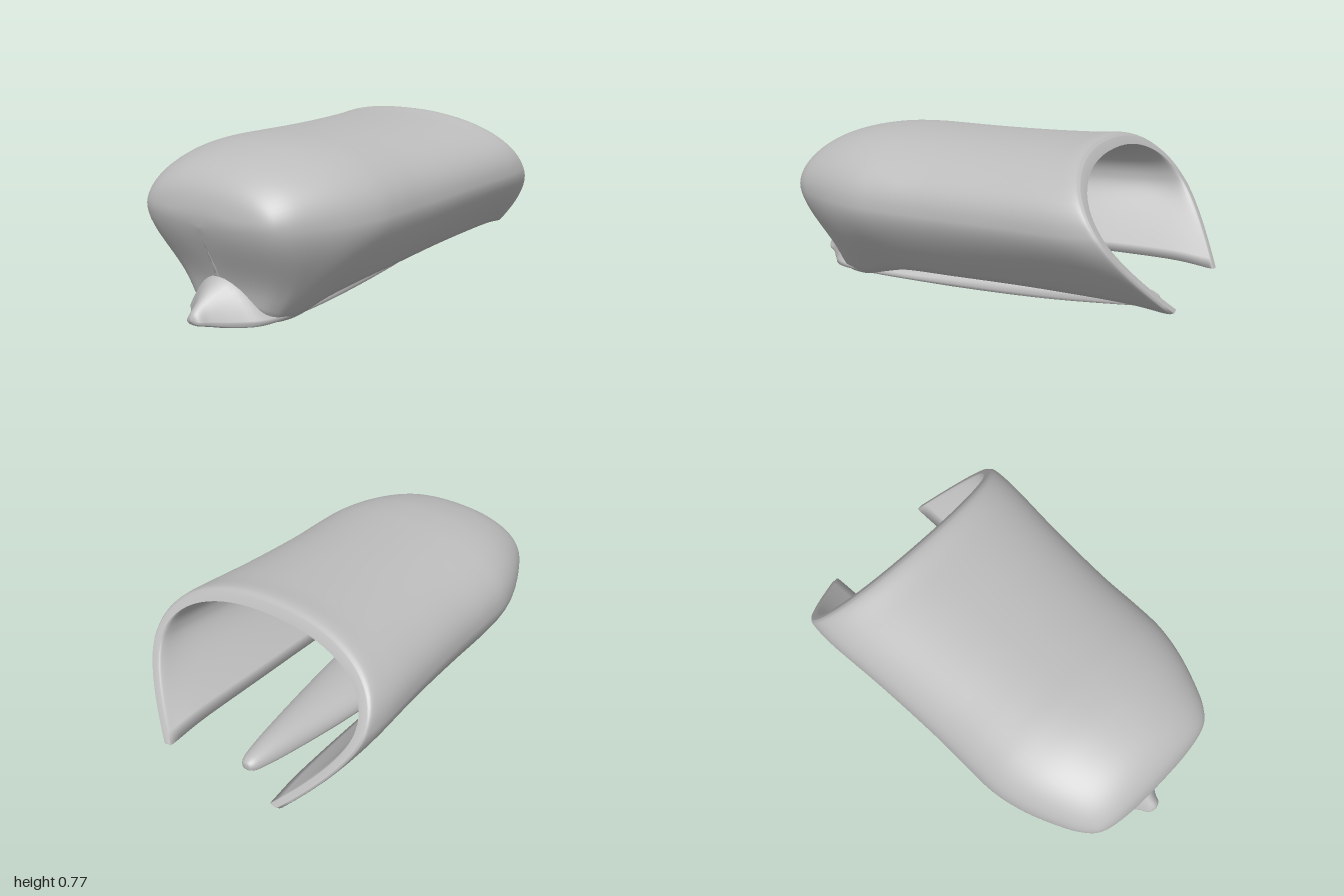
import * as THREE from 'three';

// Smoothly interpolates a table of cross-section rows into `count` rows.
function sampleRows(rows, count) {
  const times = rows.map((_, i) => i);
  const spline = new THREE.CubicInterpolant(times, rows.flat(), rows[0].length);
  return Array.from({ length: count + 1 }, (_, i) =>
    Array.from(spline.evaluate((i / count) * (rows.length - 1))));
}

// Joins closed rings of equal length; optionally closes the first ring as a folded rim.
function loft(rings, foldFirst) {
  const n = rings[0].length;
  const index = [];
  for (let i = 0; i < rings.length - 1; i++) {
    for (let j = 0; j < n; j++) {
      const k = (j + 1) % n;
      const a = i * n + j, b = i * n + k, c = a + n, d = b + n;
      index.push(a, b, c, b, d, c);
    }
  }
  if (foldFirst) {
    for (let j = 0; j < n / 2 - 1; j++) {
      const inner = n - 1 - j;
      index.push(j, inner, j + 1, j + 1, inner, inner - 1);
    }
  }
  const geometry = new THREE.BufferGeometry();
  geometry.setAttribute('position', new THREE.Float32BufferAttribute(rings.flat(2), 3));
  geometry.setIndex(index);
  geometry.computeVertexNormals();
  return geometry;
}

// Open arch: lower wall curve, rounded crown, mirrored lower wall.
function arch(w, top, side, bx, by) {
  const half = [];
  const cy = THREE.MathUtils.lerp(side, by, 0.33);
  for (let i = 0; i < 12; i++) {
    const t = 1 - i / 12, s = 1 - t;
    half.push([
      s * s * w + 2 * s * t * w + t * t * bx,
      s * s * side + 2 * s * t * cy + t * t * by,
    ]);
  }
  for (let i = 0; i < 16; i++) {
    const a = (i / 16) * Math.PI / 2;
    half.push([w * Math.cos(a) ** 0.9, side + (top - side) * Math.sin(a) ** 0.9]);
  }
  return [...half, [0, top], ...half.map(([x, y]) => [-x, y]).reverse()];
}

function hoodGeometry() {
  // z, half width, crown y, widest y, lower edge x, lower edge y, thickness
  const rows = [
    [-0.56, 0.578, 0.762, 0.49, 0.325, 0.14, 0.035],
    [-0.53, 0.592, 0.778, 0.49, 0.345, 0.14, 0.058],
    [-0.40, 0.595, 0.768, 0.48, 0.350, 0.155, 0.068],
    [-0.15, 0.570, 0.760, 0.47, 0.345, 0.15, 0.07],
    [0.10, 0.555, 0.758, 0.46, 0.345, 0.135, 0.07],
    [0.30, 0.556, 0.758, 0.46, 0.335, 0.12, 0.07],
    [0.45, 0.550, 0.757, 0.46, 0.270, 0.07, 0.07],
    [0.60, 0.515, 0.745, 0.46, 0.235, 0.025, 0.07],
    [0.75, 0.455, 0.712, 0.46, 0.222, 0.02, 0.07],
    [0.85, 0.400, 0.665, 0.46, 0.205, 0.03, 0.07],
    [0.91, 0.330, 0.605, 0.46, 0.150, 0.06, 0.06],
    [0.938, 0.190, 0.530, 0.45, 0.001, 0.13, 0.04],
    [0.945, 0.001, 0.441, 0.44, 0.000, 0.435, 0],
  ];
  const smooth = THREE.MathUtils.smoothstep;
  const rings = sampleRows(rows, 72).map(([z, w, top, side, bx, by, thick]) => {
    const nose = smooth(z, 0.5, 0.945);
    const rear = 1 - smooth(z, -0.56, 0.3);
    // slants the rear opening and pulls the lower nose back
    const place = inset => ([x, y]) => [
      x, y,
      z - 0.695 * (0.77 - y) * rear - 0.12 * smooth(0.5 - y, 0, 0.38) * nose - inset * nose,
    ];
    const outer = arch(w, top, side, bx, by).map(place(0));
    const inner = arch(Math.max(w - thick, 0), top - thick, side, Math.max(bx - thick, 0), by + thick * 0.1)
      .map(place(thick)).reverse();
    return [...outer, ...inner];
  });
  return loft(rings, true);
}

function tongueGeometry() {
  // z, half width, underside y, edge y, top y
  const rows = [
    [-0.835, 0.002, 0.050, 0.055, 0.060],
    [-0.825, 0.030, 0.036, 0.055, 0.080],
    [-0.77, 0.055, 0.030, 0.050, 0.100],
    [-0.60, 0.090, 0.020, 0.042, 0.118],
    [-0.30, 0.140, 0.006, 0.035, 0.125],
    [0.10, 0.195, 0.004, 0.035, 0.122],
    [0.45, 0.238, 0.015, 0.040, 0.110],
    [0.68, 0.240, 0.014, 0.045, 0.160],
    [0.80, 0.205, 0.008, 0.045, 0.220],
    [0.88, 0.125, 0.012, 0.045, 0.185],
    [0.94, 0.062, 0.026, 0.050, 0.135],
    [0.985, 0.036, 0.040, 0.058, 0.095],
    [1.0, 0.002, 0.060, 0.065, 0.070],
  ];
  const sides = 32;
  const rings = sampleRows(rows, 60).map(([z, w, low, edge, top]) => {
    // the front lip rises to a flared ridge
    const flare = 1 + THREE.MathUtils.smoothstep(z, 0.5, 0.8);
    return Array.from({ length: sides }, (_, j) => {
      const a = (j / sides) * Math.PI * 2;
      const s = Math.sin(a);
      const y = s > 0 ? edge + (top - edge) * s ** flare : edge - (edge - low) * Math.sqrt(-s);
      return [w * Math.cos(a), y, z];
    });
  });
  return loft(rings, false);
}

export function createModel() {
  const group = new THREE.Group();
  const grey = new THREE.MeshStandardMaterial({ color: 0xbcbcbc, side: THREE.DoubleSide });
  grey.name = 'plain grey';

  // Hollow hood with a closed nose and a slanted rear opening
  const hood = new THREE.Mesh(hoodGeometry(), grey);
  hood.name = 'hood';

  // Base plate running from the front lip to the tapered rear tongue
  const tongue = new THREE.Mesh(tongueGeometry(), grey);
  tongue.name = 'baseTongue';

  group.add(hood, tongue);
  return group;
}
